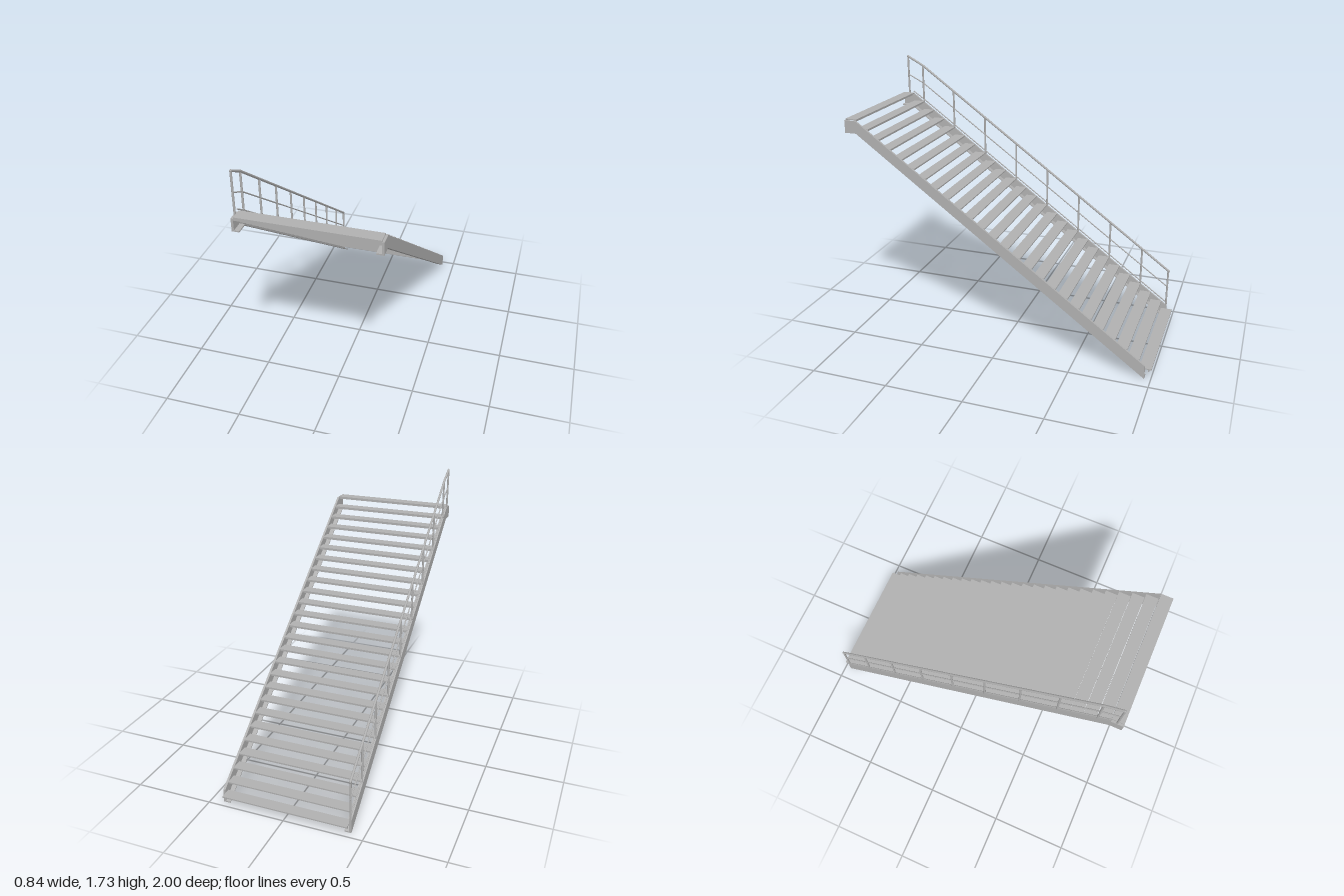
import * as THREE from 'three';

export function createModel() {
  const model = new THREE.Group();
  const steel = new THREE.MeshStandardMaterial({ color: 0xb0b0b0 });
  steel.name = 'grey steel';

  const add = (name, geometry, parent = model) => {
    const mesh = new THREE.Mesh(geometry, steel);
    mesh.name = name;
    parent.add(mesh);
    return mesh;
  };

  // Side profile given as [z, y] points, extruded from x0 to x1
  const sideExtrude = (points, x0, x1) => {
    const shape = new THREE.Shape(points.map(([z, y]) => new THREE.Vector2(z, y)));
    const geo = new THREE.ExtrudeGeometry(shape, { depth: x1 - x0, bevelEnabled: false });
    return geo.rotateY(-Math.PI / 2).translate(x1, 0, 0);
  };

  // Stringers: a tall web with an inward flange along its lower edge
  const lower = [[-0.96, 0], [0.925, 1.378], [1, 1.378]];
  const upper = [[1, 1.458], [0.925, 1.458], [-0.96, 0.088]];
  const flangeTop = lower.map(([z, y]) => [z, y + 0.008]).reverse();
  for (const [side, s] of [['left', 1], ['right', -1]]) {
    const span = (a, b) => (s > 0 ? [a, b] : [-b, -a]);
    const stringer = new THREE.Group();
    stringer.name = side + 'Stringer';
    add('web', sideExtrude([...lower, ...upper], ...span(0.404, 0.418)), stringer);
    add('bottomFlange', sideExtrude([...lower, ...flangeTop], ...span(0.374, 0.405)), stringer);
    model.add(stringer);
  }

  // Treads: folded plates with a lip at the nose and at the rear
  const count = 26, going = 2 / count, rise = 0.056;
  const d = going - 0.0008;
  const treadGeo = sideExtrude([
    [0, 0], [0, -0.008], [0.014, -0.008], [0.014, -0.02], [0.02, -0.02], [0.02, -0.006],
    [d - 0.005, -0.006], [d - 0.005, -0.02], [d, -0.02], [d, 0],
  ].reverse(), -0.404, 0.404);
  for (let i = 0; i < count; i++) {
    add('tread', treadGeo).position.set(0, 0.066 + i * rise, -1 + i * going);
  }

  // Railing on the right-hand side
  const railing = new THREE.Group();
  railing.name = 'railing';
  railing.position.x = -0.41;
  model.add(railing);

  const bar = (name, [z0, y0], [z1, y1], r) => {
    const a = new THREE.Vector3(0, y0, z0), b = new THREE.Vector3(0, y1, z1);
    const dir = b.clone().sub(a);
    const mesh = add(name, new THREE.CylinderGeometry(r, r, dir.length(), 12), railing);
    mesh.position.copy(a).add(b).multiplyScalar(0.5);
    mesh.quaternion.setFromUnitVectors(new THREE.Vector3(0, 1, 0), dir.normalize());
  };

  // Rails follow the pitch and ease off toward the top post
  const rails = [
    ['handrail', [[0.96, 1.722], [0.85, 1.664], [-0.96, 0.352]], 0.0075],
    ['middleRail', [[0.96, 1.594], [0.85, 1.54], [-0.96, 0.23]], 0.004],
    ['lowerRail', [[0.925, 1.474], [0.85, 1.424], [-0.96, 0.11]], 0.004],
  ];
  for (const [name, path, r] of rails) {
    for (let i = 1; i < path.length; i++) bar(name, path[i - 1], path[i], r);
    for (const [z, y] of path) {
      add(name + 'Joint', new THREE.SphereGeometry(r, 12, 8), railing).position.set(0, y, z);
    }
  }

  // Posts stand on the stringer
  bar('topPost', [0.96, 1.45], [0.96, 1.722], 0.0065);
  for (const z of [0.85, 0.62, 0.387, 0.156, -0.075, -0.306, -0.537, -0.766, -0.955]) {
    const t = (z + 0.96) / 1.81;
    bar('post', [z, 0.085 + t * 1.315], [z, 0.352 + t * 1.312], 0.0065);
  }
  return model;
}
